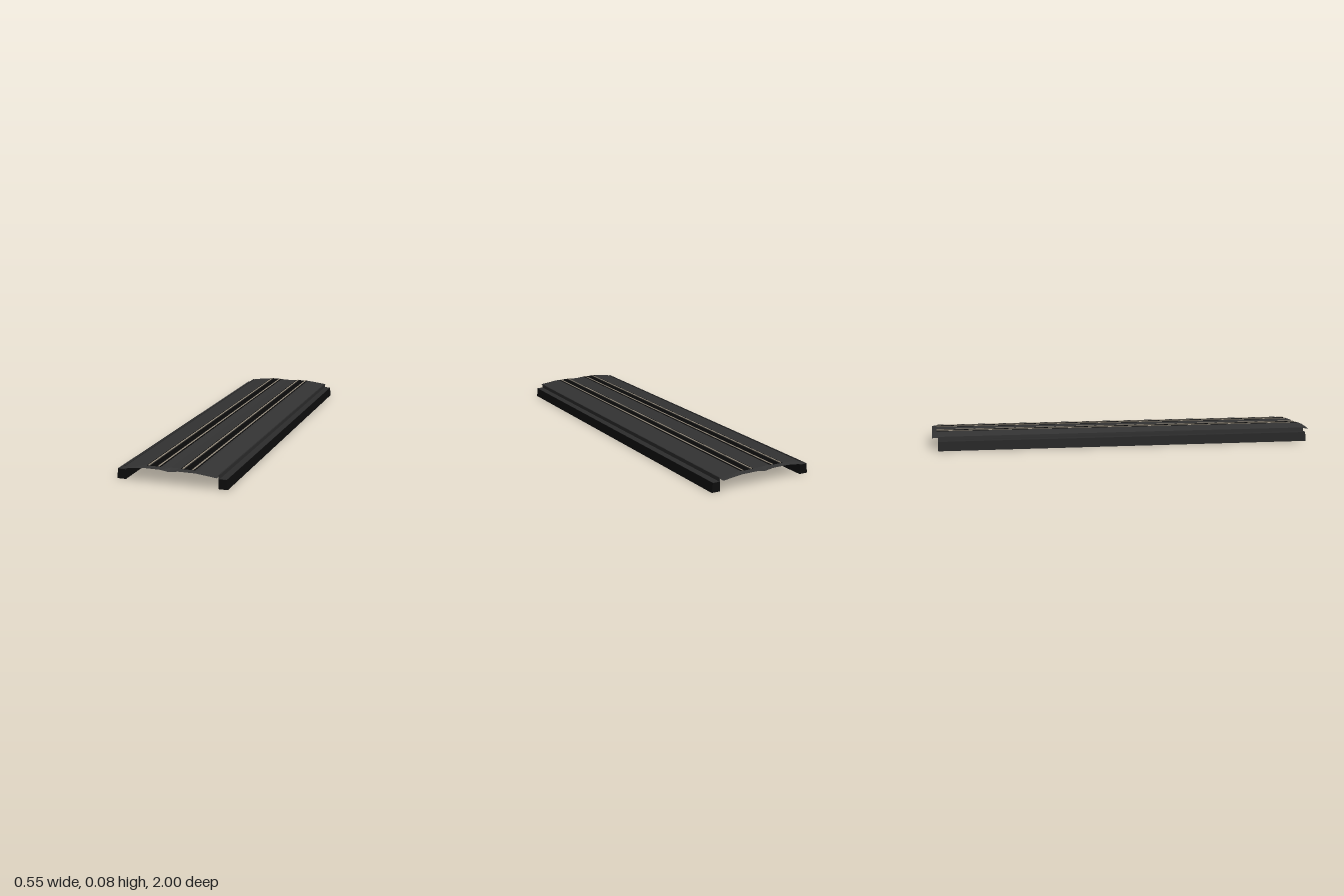
import * as THREE from 'three';

const mat = (name, color, side = THREE.FrontSide) => {
  const m = new THREE.MeshStandardMaterial({ color, side });
  m.name = name;
  return m;
};

export function createModel() {
  const group = new THREE.Group();
  group.name = 'trackDeck';
  const deckGrey = mat('deckGrey', 0x333333, THREE.DoubleSide);
  const ledgeGrey = mat('ledgeGrey', 0x2c2c2c);
  const beamBlack = mat('beamBlack', 0x0d0d0d);
  const bedBlack = mat('bedBlack', 0x0a0a0a);
  const railMetal = mat('railMetal', 0x9a9080);
  const guardGrey = mat('guardGrey', 0x3a3834);

  const add = (name, geo, material, x = 0, y = 0, z = 0) => {
    const m = new THREE.Mesh(geo, material);
    m.name = name;
    m.position.set(x, y, z);
    group.add(m);
    return m;
  };
  const box = (name, material, x, y0, y1, w, length) =>
    add(name, new THREE.BoxGeometry(w, y1 - y0, length), material, x, (y0 + y1) / 2);

  // Thin cambered deck sheet: [x, height of main span, height at drooping ends]
  const section = [
    [-0.232, 0.063, 0.061], [-0.13, 0.079, 0.073], [-0.045, 0.079, 0.073], [0, 0.0785, 0.066],
    [0.045, 0.079, 0.073], [0.13, 0.079, 0.073], [0.232, 0.063, 0.061],
  ];
  const rows = [-1, -0.97, 0.97, 1];
  const points = [], index = [];
  rows.forEach((z, r) => section.forEach(([x, main, end]) =>
    points.push(x, r === 0 || r === 3 ? end : main, z)));
  const n = section.length;
  for (let r = 0; r < rows.length - 1; r++) {
    for (let i = 0; i < n - 1; i++) {
      const a = r * n + i, b = a + n;
      index.push(a, b, a + 1, a + 1, b, b + 1);
    }
  }
  let deck = new THREE.BufferGeometry();
  deck.setAttribute('position', new THREE.Float32BufferAttribute(points, 3));
  deck.setIndex(index);
  deck = deck.toNonIndexed();
  deck.computeVertexNormals();
  add('deck', deck, deckGrey);

  for (const s of [-1, 1]) {
    const side = s > 0 ? 'left' : 'right';

    // Side beam with slightly battered outer face
    const shape = new THREE.Shape();
    shape.moveTo(s * 0.229, 0);
    shape.lineTo(s * 0.273, 0);
    shape.lineTo(s * 0.268, 0.047);
    shape.lineTo(s * 0.229, 0.047);
    shape.closePath();
    const beam = new THREE.ExtrudeGeometry(shape, { depth: 1.94, bevelEnabled: false });
    add(side + 'Beam', beam, beamBlack, 0, 0, -0.97);

    // Ledge on the beam and the upright lip holding the deck
    box(side + 'Ledge', ledgeGrey, s * 0.2485, 0.047, 0.0485, 0.039, 1.94);
    box(side + 'Lip', ledgeGrey, s * 0.2315, 0.0485, 0.067, 0.006, 1.94);

    // Track: dark bed, two bright rails and their inner guard strips
    const c = s * 0.084;
    box(side + 'TrackBed', bedBlack, c, 0.0788, 0.0802, 0.07, 1.95);
    for (const k of [-1, 1]) {
      box(side + 'Rail', railMetal, c + k * 0.025, 0.0798, 0.0825, 0.006, 1.95);
      box(side + 'RailGuard', guardGrey, c + k * 0.0195, 0.0798, 0.081, 0.004, 1.95);
    }
  }
  return group;
}
